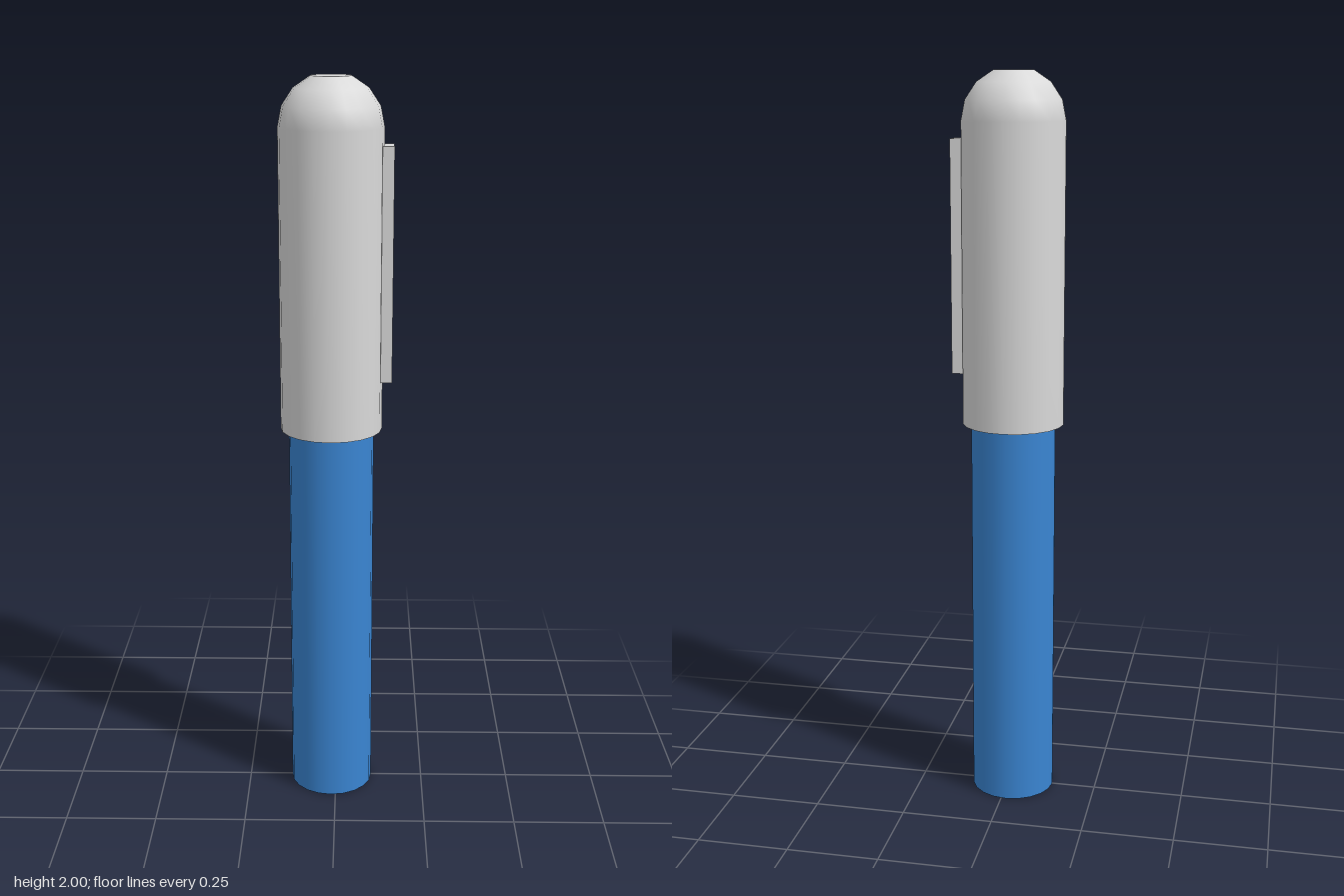
import * as THREE from 'three';

const SIDES = 20;
const AXIS_X = -0.0125; // pen axis, offset so the clip fits the centred bounds
const CAP_R = 0.1375, BARREL_R = 0.115;
const CAP_BOTTOM = 1.07, DOME_BASE = 1.873;

export function createModel() {
  const capGrey = new THREE.MeshStandardMaterial({ color: 0xd9d9d9 });
  capGrey.name = 'capGrey';
  const barrelBlue = new THREE.MeshStandardMaterial({ color: 0x3a85d2 });
  barrelBlue.name = 'barrelBlue';

  const model = new THREE.Group();
  model.name = 'pen';
  const add = (name, geometry, material, x, y) => {
    const mesh = new THREE.Mesh(geometry, material);
    mesh.name = name;
    mesh.position.set(x, y, 0);
    model.add(mesh);
    return mesh;
  };

  // Barrel, running a little way into the cap
  const barrelH = CAP_BOTTOM + 0.05;
  add('barrel', new THREE.CylinderGeometry(BARREL_R, BARREL_R, barrelH, SIDES), barrelBlue, AXIS_X, barrelH / 2);

  // Cap: straight wall followed by a truncated dome
  const profile = [new THREE.Vector2(CAP_R, CAP_BOTTOM)];
  for (let i = 0; i <= 3; i++) {
    const a = (i * Math.PI) / 8;
    profile.push(new THREE.Vector2(CAP_R * Math.cos(a), DOME_BASE + CAP_R * Math.sin(a)));
  }
  add('cap', new THREE.LatheGeometry(profile, SIDES), capGrey, AXIS_X, 0);

  // Flat end on the dome and flat rim under the cap
  const tip = profile[profile.length - 1];
  add('capTop', new THREE.CircleGeometry(tip.x, SIDES).rotateX(-Math.PI / 2), capGrey, AXIS_X, tip.y);
  add('capRim', new THREE.RingGeometry(BARREL_R - 0.005, CAP_R, SIDES).rotateX(Math.PI / 2), capGrey, AXIS_X, CAP_BOTTOM);

  // Pocket clip on the model's left
  add('clip', new THREE.BoxGeometry(0.035, 0.62, 0.07), capGrey, 0.1325, 1.517);

  return model;
}
